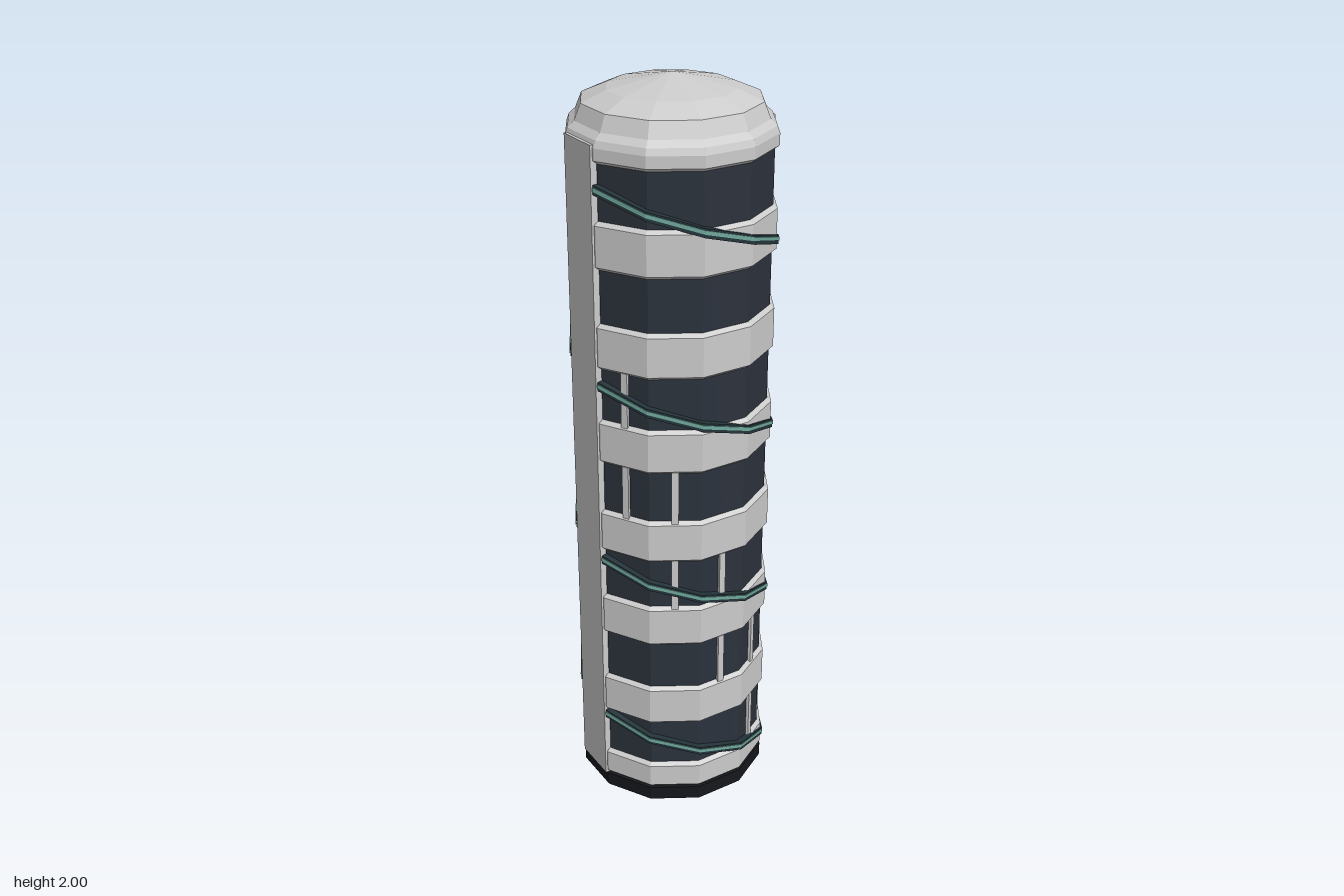
import * as THREE from 'three';

const SIDES = 12, STEP = Math.PI * 2 / SIDES, DEG = Math.PI / 180;
const K = 1 / Math.cos(STEP / 2); // flat-to-flat radius -> corner radius
const FLOORS = 7, PITCH = 0.261;

const mat = (color) => new THREE.MeshStandardMaterial({ color, flatShading: true });

export function createModel() {
  const group = new THREE.Group();
  const grey = mat(0xcccccc), glass = mat(0x2b323c), black = mat(0x15171c);
  const railDark = mat(0x24343a), railTeal = mat(0x6fa89c);

  const add = (name, geometry, material) => {
    const mesh = new THREE.Mesh(geometry, material);
    mesh.name = name;
    group.add(mesh);
    return mesh;
  };

  // Twelve-sided turned shape with flats facing the axes
  const turned = (profile) => new THREE.LatheGeometry(
    profile.map(([r, y]) => new THREE.Vector2(r * K, y)), SIDES, STEP / 2);

  // Base and glazed core
  add('base', turned([[0, 0], [0.256, 0], [0.256, 0.04], [0, 0.04]]), black);
  add('windowCore', turned([[0.245, 0.04], [0.245, 1.85]]), glass);

  // Wall bands between the window rows
  for (let i = 0; i < FLOORS; i++) {
    const y0 = i === 0 ? 0.04 : 0.262 + (i - 1) * PITCH;
    const y1 = 0.125 + i * PITCH;
    add('wallBand', turned([[0.244, y0], [0.256, y0 + 0.01], [0.256, y1 - 0.01], [0.244, y1]]), grey);
  }

  // Top band, shoulder and shallow dome
  add('roof', turned([[0.244, 1.828], [0.256, 1.838], [0.256, 1.868], [0.25, 1.885],
    [0.234, 1.9], [0.218, 1.94], [0.157, 1.967], [0, 2]]), grey);

  // Full-height pilasters on both sides
  for (const s of [-1, 1]) {
    add('pilaster', new THREE.BoxGeometry(0.06, 1.835, 0.126), grey)
      .position.set(s * 0.232, 0.04 + 1.835 / 2, 0);
  }

  // Window mullions, stepping round the tower floor by floor
  const mullions = [[60, 30], [30, 0], [0, -30], [-30, -60], [-60, -120], [-120, -150], [-150, -180]];
  mullions.forEach((angles, floor) => {
    for (const a of angles) {
      const m = add('mullion', new THREE.BoxGeometry(0.018, 0.15, 0.02), grey);
      const t = a * DEG;
      m.position.set(Math.sin(t) * 0.243, 0.193 + floor * PITCH, Math.cos(t) * 0.243);
      m.rotation.y = t;
    }
  });

  // Spiral rail: a rectangular section swept across five faces, descending
  const rail = (startDeg, yStart, inner, outer, half) => {
    const section = [[inner, -half], [outer, -half], [outer, half], [inner, half]];
    const pos = [], index = [];
    for (let i = 0; i <= 5; i++) {
      const t = startDeg * DEG + i * STEP, y = yStart - i * 0.505 / SIDES;
      for (const [r, dy] of section) pos.push(Math.sin(t) * r * K, y + dy, Math.cos(t) * r * K);
    }
    for (let i = 0; i < 5; i++) {
      for (let j = 0; j < 4; j++) {
        const a = i * 4 + j, b = i * 4 + (j + 1) % 4;
        index.push(a, a + 4, b, b, a + 4, b + 4);
      }
    }
    index.push(0, 1, 2, 0, 2, 3, 20, 22, 21, 20, 23, 22);
    const g = new THREE.BufferGeometry();
    g.setAttribute('position', new THREE.Float32BufferAttribute(pos, 3));
    g.setIndex(index);
    g.computeVertexNormals();
    return g;
  };
  for (let i = 0; i < 7; i++) {
    const start = i % 2 ? 105 : -75, y = 1.77 - i * 0.2525;
    add('spiralRail', rail(start, y, 0.243, 0.261, 0.012), railDark);
    add('spiralRailStripe', rail(start, y + 0.002, 0.25, 0.263, 0.005), railTeal);
  }

  return group;
}
